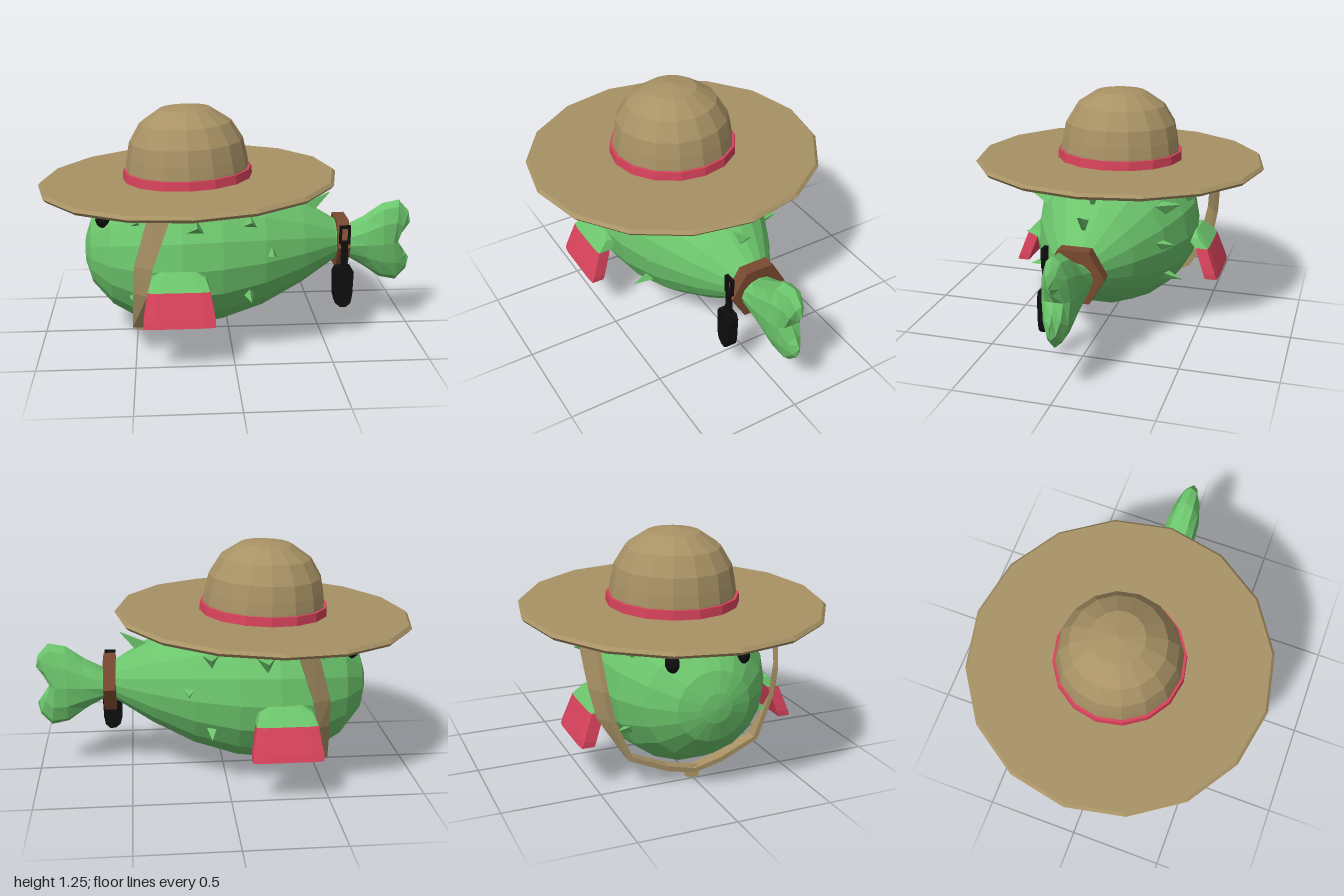
import * as THREE from 'three';
import { ConvexGeometry } from 'three/addons/geometries/ConvexGeometry.js';

const mat = (name, color) => {
  const m = new THREE.MeshStandardMaterial({ color });
  m.name = name;
  return m;
};

export function createModel() {
  const green = mat('cactus green', 0x6cc56c);
  const straw = mat('straw', 0xa89265);
  const red = mat('red', 0xd9435c);
  const brown = mat('leather brown', 0x7a4a30);
  const black = mat('black', 0x0e0e0e);
  const model = new THREE.Group();
  model.name = 'cactusFish';

  // Facet a geometry and add it as a named mesh
  const add = (name, geo, material, parent = model) => {
    const g = geo.index ? geo.toNonIndexed() : geo;
    g.computeVertexNormals();
    const mesh = new THREE.Mesh(g, material);
    mesh.name = name;
    parent.add(mesh);
    return mesh;
  };
  const V = (x, y, z) => new THREE.Vector3(x, y, z);
  const lathe = (pts, n) => new THREE.LatheGeometry(pts.map(p => new THREE.Vector2(p[0], p[1])), n);
  const plate = (pts, depth, z, hole) => {
    const s = new THREE.Shape(pts.map(p => new THREE.Vector2(p[0], p[1])));
    if (hole) s.holes.push(new THREE.Path(hole.map(p => new THREE.Vector2(p[0], p[1]))));
    return new THREE.ExtrudeGeometry(s, { depth, bevelEnabled: false }).translate(0, 0, z);
  };

  // Body: [radius, x], the axis rising slightly toward the tail
  const profile = [[0, -0.77], [0.075, -0.762], [0.18, -0.727], [0.3, -0.62], [0.385, -0.47], [0.42, -0.257],
    [0.4, -0.053], [0.335, 0.17], [0.228, 0.385], [0.112, 0.57], [0.1, 0.62], [0, 0.62]];
  const axisY = x => 0.477 + 0.028 * THREE.MathUtils.clamp((x + 0.25) / 0.82, 0, 1);
  const radiusAt = x => {
    const i = profile.findIndex(p => p[1] > x);
    const [a, b] = [profile[i - 1], profile[i]];
    return a[0] + (b[0] - a[0]) * (x - a[1]) / (b[1] - a[1]);
  };
  const body = lathe(profile, 18).rotateZ(-Math.PI / 2);
  const bp = body.attributes.position;
  for (let i = 0; i < bp.count; i++) {
    bp.setXYZ(i, bp.getX(i), bp.getY(i) + axisY(bp.getX(i)), bp.getZ(i) * 1.05);
  }
  add('body', body, green);

  // Tail fin: rings [x, halfHeight, halfDepth, notch] along x
  const rings = [[0.58, 0.1, 0.105, 0], [0.645, 0.085, 0.1, 0], [0.745, 0.145, 0.095, 0], [0.835, 0.21, 0.088, 0],
    [0.925, 0.228, 0.07, 0.03], [0.982, 0.165, 0.045, 0.06], [0.995, 0.1, 0, 0.07]];
  const N = 12, pos = [], idx = [];
  rings.forEach(([x, h, d, notch]) => {
    for (let j = 0; j < N; j++) {
      const t = j / N * Math.PI * 2;
      pos.push(x - notch * (1 - Math.abs(Math.sin(t))), 0.487 + h * Math.sin(t), d * Math.cos(t));
    }
  });
  for (let i = 0; i < rings.length - 1; i++) {
    for (let j = 0; j < N; j++) {
      const a = i * N + j, b = i * N + (j + 1) % N;
      idx.push(a, a + N, b, b, a + N, b + N);
    }
  }
  const tail = new THREE.BufferGeometry();
  tail.setAttribute('position', new THREE.Float32BufferAttribute(pos, 3));
  tail.setIndex(idx);
  add('tailFin', tail, green);

  // Dorsal thorns, thin and swept back
  add('dorsalThorn', plate([[0.14, 0.79], [0.24, 0.845], [0.37, 0.875], [0.36, 0.82], [0.32, 0.76], [0.25, 0.74]], 0.018, -0.009), green);
  add('dorsalThorn', plate([[0.34, 0.7], [0.43, 0.715], [0.545, 0.765], [0.47, 0.675], [0.42, 0.65]], 0.018, -0.009), green);

  // Sun hat, tilted a little
  const hat = new THREE.Group();
  hat.name = 'hat';
  hat.position.set(-0.215, 0.855, 0);
  hat.rotation.z = 0.032;
  model.add(hat);
  add('brim', lathe([[0, -0.017], [0.772, -0.017], [0.787, 0], [0.772, 0.016], [0, 0.016]], 16), straw, hat);
  add('crown', lathe([[0.328, 0], [0.324, 0.07], [0.315, 0.13], [0.298, 0.21], [0.24, 0.305], [0.135, 0.375], [0, 0.398]], 16), straw, hat);
  add('hatBand', lathe([[0.32, 0.01], [0.342, 0.01], [0.338, 0.062], [0.32, 0.062]], 16), red, hat);

  // Parts on both sides
  const strap = [[-0.35, 0.85, 0.515, 0.055], [-0.45, 0.53, 0.485, 0.045], [-0.47, 0.38, 0.455, 0.035],
    [-0.482, 0.17, 0.345, 0.033], [-0.485, 0.085, 0.15, 0.033], [-0.485, 0.047, 0, 0.03]];
  const thorns = [[-0.485, 0.705, 0.032, 0.08], [-0.19, 0.69, 0.058, 0.14], [0.085, 0.695, 0.052, 0.12],
    [0.2, 0.535, 0.038, 0.09], [0.085, 0.325, 0.034, 0.11], [-0.5, 0.33, 0.03, 0.09]];
  const finRings = [[0.485, 0.41, 0.085], [0.455, 0.432, 0.135], [0.405, 0.485, 0.155], [0.27, 0.535, 0.178], [0.24, 0.545, 0.178]];

  for (const s of [1, -1]) {
    const side = new THREE.Group();
    side.name = s > 0 ? 'frontSide' : 'backSide';
    model.add(side);

    // Chin strap: flat band following the body
    const section = ([x, y, z, w], i) => {
      const n = i < 3 ? V(0, 0.1, 0.013) : i === 3 ? V(0, -0.008, 0.01) : V(0, -0.012, i === 4 ? 0.004 : 0);
      if (i < 3) n.y = 0;
      const skew = i < 3 ? 0.024 : 0;
      return [[-1, -1], [1, -1], [1, 1], [-1, 1]].map(([u, v]) =>
        V(x + u * w, y + v * n.y, s * (z + u * skew + v * n.z)));
    };
    for (let i = 0; i < strap.length - 1; i++) {
      add('chinStrap', new ConvexGeometry([...section(strap[i], i), ...section(strap[i + 1], i + 1)]), straw, side);
    }

    // Pectoral fin: green root, red tip
    const finSection = ([y, z, w]) => [-1, 1].flatMap(u => [
      V(-0.278 + u * w, y, s * (z - 0.034)), V(-0.278 + u * w, y, s * (z + 0.03)),
      V(-0.278 + u * w * 0.7, y, s * (z + 0.036))]);
    add('finRoot', new ConvexGeometry(finRings.slice(0, 3).flatMap(finSection)), green, side);
    add('finTip', new ConvexGeometry(finRings.slice(2).flatMap(finSection)), red, side);

    // Thorns standing on the body surface
    for (const [x, y, r, h] of thorns) {
      const dy = y - axisY(x), z = 1.05 * Math.sqrt(radiusAt(x) ** 2 - dy * dy);
      const cone = new THREE.ConeGeometry(r, h, 3).rotateY(Math.PI).translate(0, h / 2 - 0.02, 0);
      const thorn = add('thorn', cone, green, side);
      thorn.position.set(x, y, s * z);
      thorn.quaternion.setFromUnitVectors(V(0, 1, 0), V(0.05, dy * 1.2, s * 0.9).normalize());
    }

    // Eye
    const eye = add('eye', new THREE.IcosahedronGeometry(0.048, 1), black, side);
    eye.position.set(-0.65, 0.69, s * 0.185);
    eye.scale.z = 0.7;
  }

  // Knot under the chin
  const knot = add('strapKnot', new THREE.BoxGeometry(0.05, 0.06, 0.06), straw);
  knot.position.set(-0.477, 0.035, 0);
  knot.rotation.z = -0.2;

  // Belt around the tail root
  const belt = add('belt', new THREE.CylinderGeometry(0.155, 0.155, 0.065, 6).rotateZ(Math.PI / 2), brown);
  belt.position.set(0.607, 0.495, 0);

  // Spade hanging from the belt
  const spade = new THREE.Group();
  spade.name = 'spade';
  model.add(spade);
  add('spadeGrip', plate([[0.578, 0.52], [0.636, 0.52], [0.636, 0.62], [0.578, 0.62]], 0.02, 0.145,
    [[0.59, 0.535], [0.59, 0.605], [0.624, 0.605], [0.624, 0.535]]), black, spade);
  add('spadeShaft', new THREE.BoxGeometry(0.034, 0.15, 0.02).translate(0.607, 0.455, 0.155), black, spade);
  add('spadeBlade', plate([[0.547, 0.37], [0.55, 0.24], [0.562, 0.195], [0.59, 0.172], [0.62, 0.172], [0.644, 0.195],
    [0.652, 0.24], [0.656, 0.37], [0.64, 0.397], [0.56, 0.397]], 0.055, 0.128), black, spade);

  return model;
}
